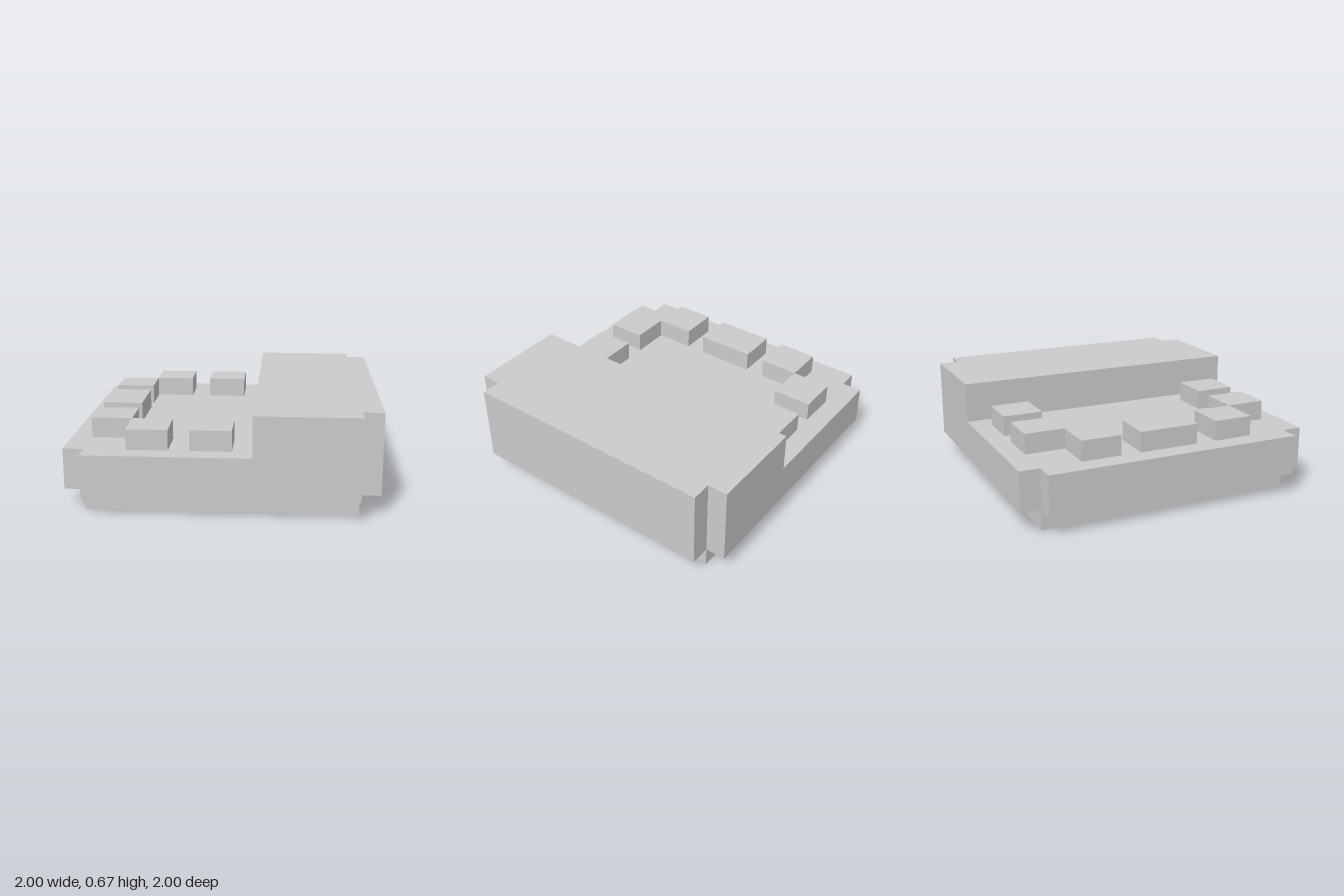
import * as THREE from 'three';

const U = 1 / 15; // modelling grid unit

export function createModel() {
  const group = new THREE.Group();
  const material = new THREE.MeshStandardMaterial({ color: 0xcccccc, flatShading: true });

  function add(name, geometry) {
    const mesh = new THREE.Mesh(geometry, material);
    mesh.name = name;
    group.add(mesh);
  }

  // Box given by its limits in grid units
  function box(name, x0, x1, y0, y1, z0, z1) {
    const g = new THREE.BoxGeometry((x1 - x0) * U, (y1 - y0) * U, (z1 - z0) * U);
    g.translate((x0 + x1) / 2 * U, (y0 + y1) / 2 * U, (z0 + z1) / 2 * U);
    add(name, g);
  }

  // Plan outline in grid units (symmetric in z), extruded upwards
  function slab(name, outline, y0, y1) {
    const shape = new THREE.Shape(outline.map(([x, z]) => new THREE.Vector2(x * U, z * U)));
    const g = new THREE.ExtrudeGeometry(shape, { depth: (y1 - y0) * U, bevelEnabled: false });
    g.rotateX(-Math.PI / 2);
    g.translate(0, y0 * U, 0);
    add(name, g);
  }

  // Inset base
  box('base', -13, 13, 0, 2, -13, 13);

  // Lower body with four notched corners
  slab('body', [
    [-13, -15], [13, -15], [13, -13], [15, -13], [15, 13], [13, 13],
    [13, 15], [-13, 15], [-13, 13], [-15, 13], [-15, -13], [-13, -13],
  ], 2, 6);

  // Raised section along the left side, with the same notches
  slab('raisedSection', [
    [3, -15], [13, -15], [13, -13], [15, -13], [15, 13], [13, 13], [13, 15], [3, 15],
  ], 6, 10);

  // Ring of small blocks on the low deck, mirrored front to back
  for (const [x0, x1, z0, z1] of [[-9, -5, 9, 13], [-3, 1, 9, 13], [-13, -9, 5, 9]]) {
    box('frontBlock', x0, x1, 6, 8, z0, z1);
    box('backBlock', x0, x1, 6, 8, -z1, -z0);
  }
  box('middleBlock', -13, -9, 6, 8, -3, 3);

  return group;
}
